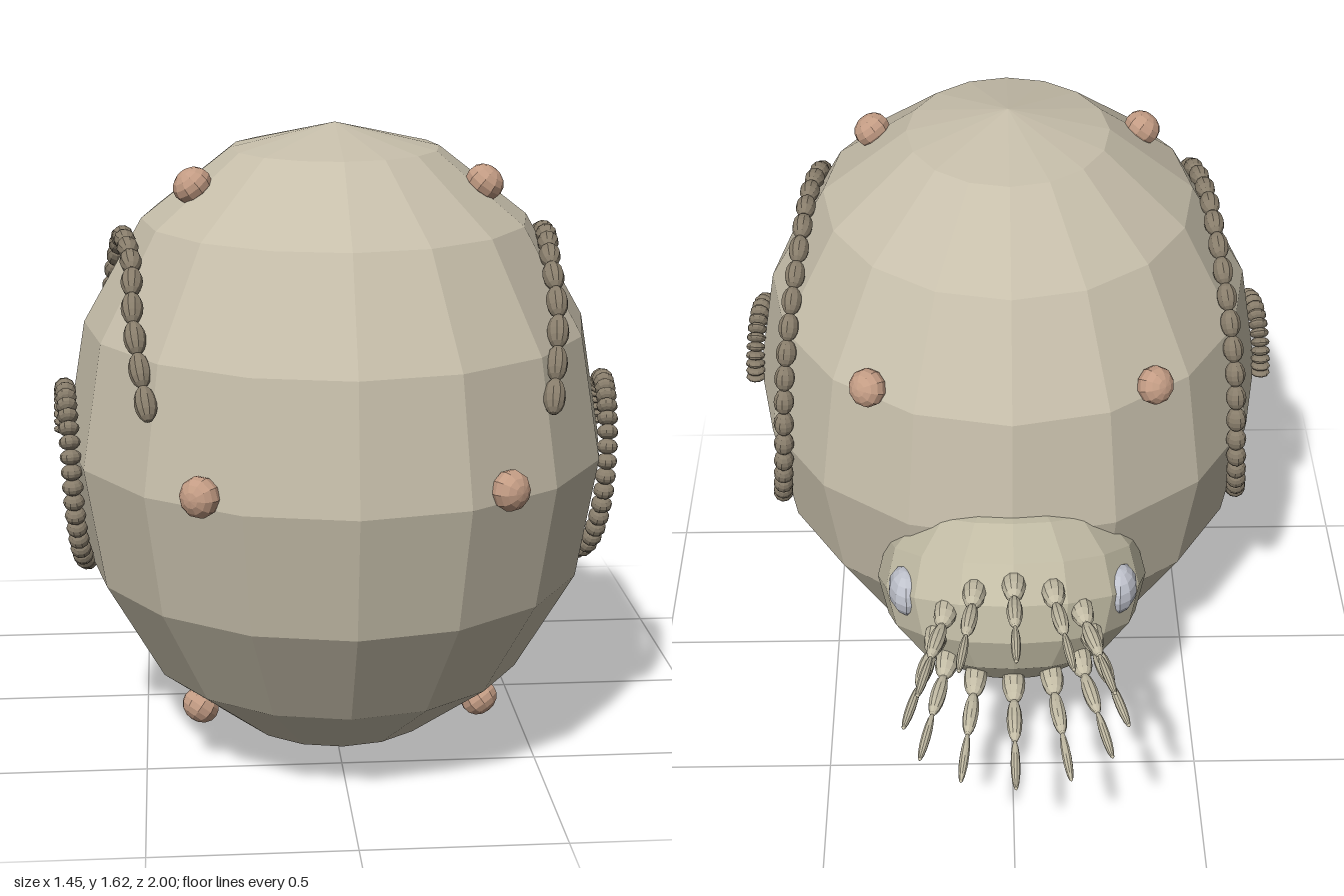
import * as THREE from 'three';

const flat = (name, color) => {
  const m = new THREE.MeshStandardMaterial({ color, flatShading: true });
  m.name = name;
  return m;
};

export function createModel() {
  const group = new THREE.Group();
  const shellMat = flat('shell beige', 0xc6beaa);
  const headMat = flat('head beige', 0xc2bca5);
  const armMat = flat('arm beige', 0xc4bda6);
  const beadMat = flat('bead brown', 0x887d6b);
  const knobMat = flat('knob tan', 0xc39c84);
  const eyeMat = flat('eye grey', 0xbfc2cc);

  const coarse = new THREE.SphereGeometry(1, 16, 8);
  const fine = new THREE.SphereGeometry(1, 10, 8);
  const up = new THREE.Vector3(0, 1, 0);
  const centre = new THREE.Vector3(0, 0.815, 0.25);
  const radii = new THREE.Vector3(0.69, 0.81, 0.75);

  const ball = (name, geo, mat, pos, scale, parent = group) => {
    const m = new THREE.Mesh(geo, mat);
    m.name = name;
    m.position.copy(pos);
    m.scale.set(...scale);
    parent.add(m);
    return m;
  };
  // Ellipsoid whose long axis runs from a to b
  const link = (name, mat, a, b, r, parent, overlap = 1.1) => {
    const d = b.clone().sub(a);
    const m = ball(name, fine, mat, a.clone().add(b).multiplyScalar(0.5),
      [r, d.length() / 2 * overlap, r], parent);
    m.quaternion.setFromUnitVectors(up, d.normalize());
    return m;
  };
  // Outward direction of the shell surface
  const normalAt = (p) => p.clone().sub(centre).divide(radii).divide(radii).normalize();

  // Shell and tilted head
  ball('shell', coarse, shellMat, centre, radii.toArray());
  const head = ball('head', coarse, headMat, new THREE.Vector3(0, 0.59, -0.38), [0.352, 0.265, 0.352]);
  head.rotation.x = 0.485;

  // Ring of twelve three-jointed arms
  const arms = new THREE.Group();
  arms.name = 'arms';
  group.add(arms);
  for (let i = 0; i < 12; i++) {
    const s = Math.sin(i * Math.PI / 6), c = Math.cos(i * Math.PI / 6);
    const p = [
      [0.185, 0.16, 0.62, -0.59], [0.205, 0.175, 0.625, -0.71],
      [0.235, 0.193, 0.635, -0.84], [0.27, 0.213, 0.645, -1.0],
    ].map(([rx, ry, y, z]) => new THREE.Vector3(rx * s, y + ry * c, z));
    link('armBase', armMat, p[0], p[1], 0.03, arms);
    link('armMiddle', armMat, p[1], p[2], 0.02, arms);
    link('armTip', armMat, p[2], p[3], 0.012, arms, 1.0);
  }

  // Bead spiral path as (z, y), from the outer end inward
  const path = new THREE.CatmullRomCurve3([
    [0.78, 1.0], [0.62, 1.21], [0.487, 1.314], [0.32, 1.346], [0.144, 1.32],
    [-0.027, 1.19], [-0.112, 1.03], [-0.144, 0.836], [-0.1, 0.686], [0.01, 0.558],
    [0.203, 0.483], [0.364, 0.547], [0.46, 0.686], [0.47, 0.836], [0.41, 0.93],
    [0.305, 0.965], [0.225, 0.93], [0.195, 0.87], [0.19, 0.81],
  ].map(([z, y]) => {
    const k = 1 - ((y - centre.y) / radii.y) ** 2 - ((z - centre.z) / radii.z) ** 2;
    return new THREE.Vector3(radii.x * Math.sqrt(k) + 0.012, y, z);
  }));
  path.arcLengthDivisions = 600;
  const total = path.getLength();
  const stops = [0];
  while (stops[stops.length - 1] < total - 0.01) {
    const at = stops[stops.length - 1];
    stops.push(Math.min(total, at + 0.016 + 0.07 * (1 - at / total) ** 0.65));
  }

  const mirror = new THREE.Vector3();
  for (const side of [1, -1]) {
    const label = side > 0 ? 'left' : 'right';
    mirror.set(side, 1, 1);

    // Spiral of beads, long outside and disc-like inside
    const spiral = new THREE.Group();
    spiral.name = label + 'BeadSpiral';
    group.add(spiral);
    for (let i = 1; i < stops.length; i++) {
      const a = path.getPointAt(stops[i - 1] / total).multiply(mirror);
      const b = path.getPointAt(stops[i] / total).multiply(mirror);
      link('bead', beadMat, a, b, 0.027, spiral, 1.08);
    }

    // Flattened knobs on the shell
    for (const [y, z] of [[1.49, 0.39], [0.845, 0.885], [0.155, 0.45], [1.15, -0.31]]) {
      const p = new THREE.Vector3(0.36 * side, y, z);
      const knob = ball(label + 'Knob', fine, knobMat, p, [0.05, 0.042, 0.05]);
      knob.quaternion.setFromUnitVectors(up, normalAt(p));
    }

    // Eye set into the side of the head
    const eye = ball(label + 'Eye', fine, eyeMat, new THREE.Vector3(0.272 * side, 0.67, -0.53), [0.045, 0.064, 0.066]);
    eye.rotation.y = 0.25 * side;
  }
  return group;
}
